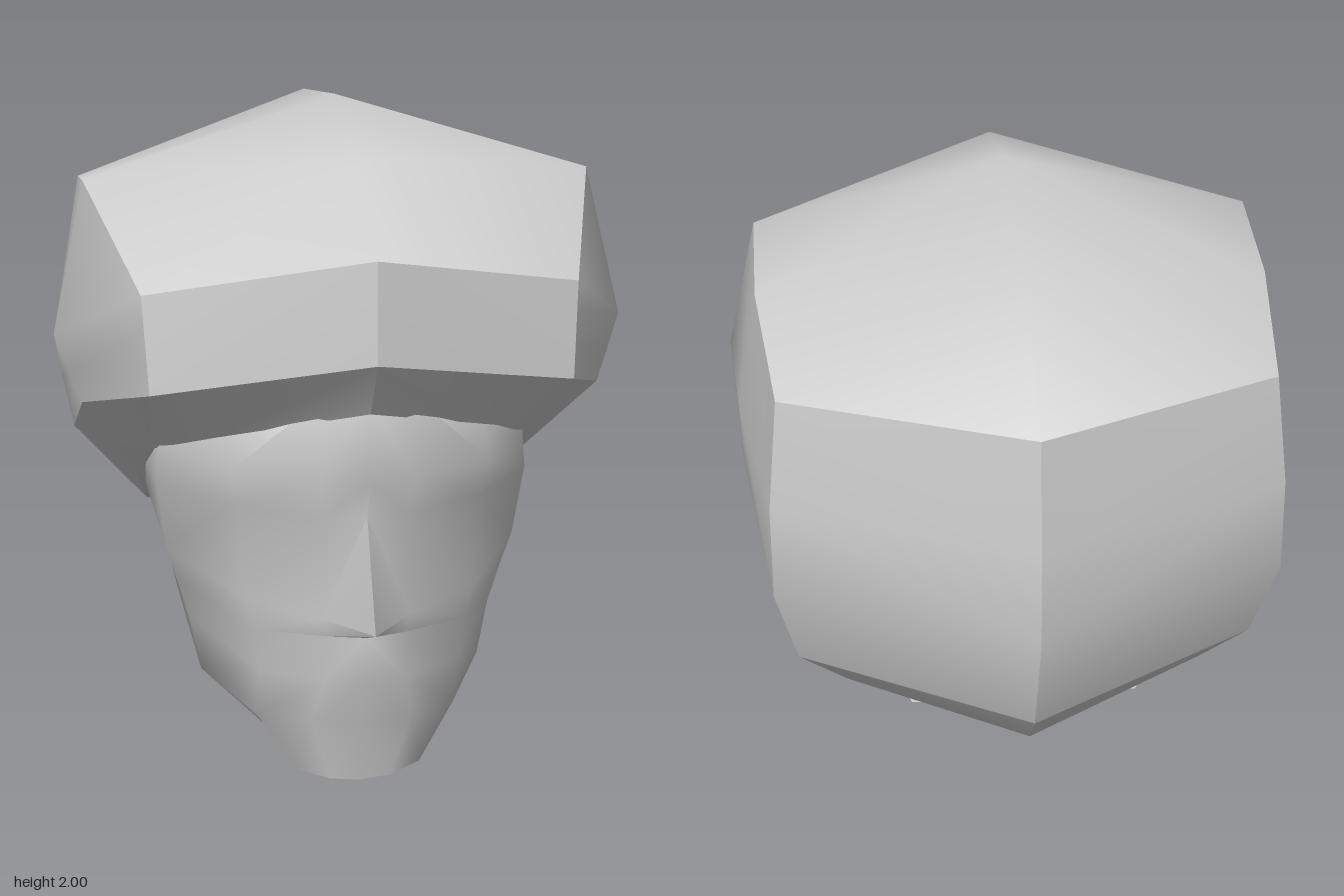
import * as THREE from 'three';
import { mergeVertices, toCreasedNormals } from 'three/addons/utils/BufferGeometryUtils.js';

const clay = new THREE.MeshStandardMaterial({ color: 0xcccccc });
clay.name = 'plainGrey';

// Skins rows of points (bottom to top, each front to back on the +x side),
// mirrors them across x = 0 and keeps edges sharper than `crease` degrees.
function mirroredSkin(name, rows, crease) {
  const pos = [];
  const key = (p) => p.join();
  const tri = (a, b, c) => {
    if (key(a) === key(b) || key(b) === key(c) || key(a) === key(c)) return;
    pos.push(...a, ...b, ...c);
    for (const [x, y, z] of [a, c, b]) pos.push(x === 0 ? 0 : -x, y, z);
  };
  for (let i = 0; i + 1 < rows.length; i++) {
    for (let j = 0; j + 1 < rows[i].length; j++) {
      const a = rows[i][j], b = rows[i][j + 1];
      const c = rows[i + 1][j], d = rows[i + 1][j + 1];
      tri(a, b, c);
      tri(b, d, c);
    }
  }
  const g = new THREE.BufferGeometry();
  g.setAttribute('position', new THREE.Float32BufferAttribute(pos, 3));
  const mesh = new THREE.Mesh(
    toCreasedNormals(mergeVertices(g), THREE.MathUtils.degToRad(crease)), clay);
  mesh.name = name;
  return mesh;
}

// Hair columns, each listed bottom to top
const front = [[0, 1.37, 0.955], [0, 1.66, 0.94]];
const frontCorner = [[0.61, 1.25, 0.74], [0.615, 1.34, 0.73], [0.62, 1.44, 0.71], [0.625, 1.53, 0.7]];
const temple = [[0.785, 1.13, 0.36], [0.82, 1.22, 0.335], [0.86, 1.33, 0.31], [0.76, 1.775, 0.25]];
const ear = [[0.8, 0.95, 0], [0.83, 1.1, -0.05], [0.83, 1.33, -0.1], [0.76, 1.72, -0.12]];
const backCorner = [[0.69, 0.7, -0.535], [0.75, 1, -0.635], [0.745, 1.3, -0.63], [0.71, 1.635, -0.595]];
const back = [[0, 0.6, -0.8], [0, 1, -0.95], [0, 1.3, -0.94], [0, 1.645, -0.895]];

function rowsOf(columns) {
  return columns[0].map((_, i) => columns.map((c) => c[i]));
}

function makeHair() {
  const hair = new THREE.Group();
  hair.name = 'hair';

  // Domed crown, from the side edge up to the centre ridge
  const ridge = [front[1], [0, 1.885, 0.61], [0, 2, 0.165], [0, 1.92, -0.495], back[3]];
  const edge = [frontCorner, frontCorner, temple, ear, backCorner].map((c) => c[3]);
  hair.add(mirroredSkin('crown', [edge, ridge], 50));

  // Upright bands round the head
  hair.add(mirroredSkin('fringe', rowsOf([front, [frontCorner[0], frontCorner[3]]]), 30));
  hair.add(mirroredSkin('hairSides', rowsOf([frontCorner, temple, ear, backCorner]), 50));
  hair.add(mirroredSkin('hairBack', rowsOf([backCorner, back]), 32));

  // Slanted underside, tucked in against the head
  const outer = [front, frontCorner, temple, ear, backCorner, back].map((c) => c[0]);
  const inner = [[0, 1.2, 0.84], [0.41, 1.09, 0.64], [0.58, 0.95, 0.28],
    [0.61, 0.8, 0.03], [0.55, 0.545, -0.455], [0, 0.44, -0.665]];
  const tucked = inner.map(([x, y, z]) => [x * 0.5, y + 0.06, z * 0.5]);
  hair.add(mirroredSkin('hairRim', [tucked, inner, outer], 25));
  return hair;
}

function makeHead() {
  // Half rings from front centre to back centre, rising towards the back
  const chin = [[0, 0.005, 0.69], [0.09, 0.015, 0.69], [0.19, 0.03, 0.64], [0.2, 0.035, 0.45],
    [0.17, 0.04, 0.25], [0.1, 0.04, 0.18], [0, 0.04, 0.17]];
  const chinCentre = chin.map(([, , z]) => [0, 0.005 + (0.69 - z) * 0.067, z]);
  const jaw = [[0, 0.22, 0.74], [0.15, 0.21, 0.71], [0.3, 0.2, 0.6], [0.44, 0.23, 0.3],
    [0.48, 0.36, -0.1], [0.35, 0.47, -0.5], [0, 0.475, -0.53]];
  const mouth = [[0, 0.38, 0.81], [0.12, 0.37, 0.77], [0.3, 0.37, 0.66], [0.47, 0.4, 0.3],
    [0.505, 0.48, -0.1], [0.4, 0.54, -0.47], [0, 0.54, -0.55]];
  const lip = [[0, 0.51, 0.8], [0.12, 0.51, 0.77], [0.32, 0.5, 0.66], [0.51, 0.53, 0.3],
    [0.535, 0.58, -0.1], [0.42, 0.65, -0.45], [0, 0.65, -0.58]];
  const nose = [[0, 0.575, 0.95], [0.13, 0.57, 0.78], [0.34, 0.6, 0.66], [0.54, 0.64, 0.32],
    [0.57, 0.7, -0.1], [0.43, 0.75, -0.45], [0, 0.75, -0.6]];
  const eyeLine = [[0, 0.88, 0.795], [0.12, 0.87, 0.765], [0.36, 0.88, 0.64], [0.57, 0.86, 0.34],
    [0.6, 0.85, -0.1], [0.43, 0.9, -0.45], [0, 0.9, -0.6]];
  const brow = [[0, 1, 0.85], [0.14, 1, 0.82], [0.38, 1, 0.68], [0.56, 0.98, 0.34],
    [0.59, 1, -0.1], [0.42, 1, -0.45], [0, 1, -0.6]];
  const forehead = [[0, 1.23, 0.79], [0.14, 1.22, 0.77], [0.36, 1.18, 0.62], [0.5, 1.18, 0.33],
    [0.5, 1.2, -0.1], [0.38, 1.1, -0.45], [0, 1.1, -0.6]];
  const top = forehead.map(() => [0, 1.4, 0.1]);
  return mirroredSkin('head',
    [chinCentre, chin, jaw, mouth, lip, nose, eyeLine, brow, forehead, top], 60);
}

export function createModel() {
  const model = new THREE.Group();
  model.name = 'headWithHair';
  model.add(makeHead(), makeHair());
  return model;
}
